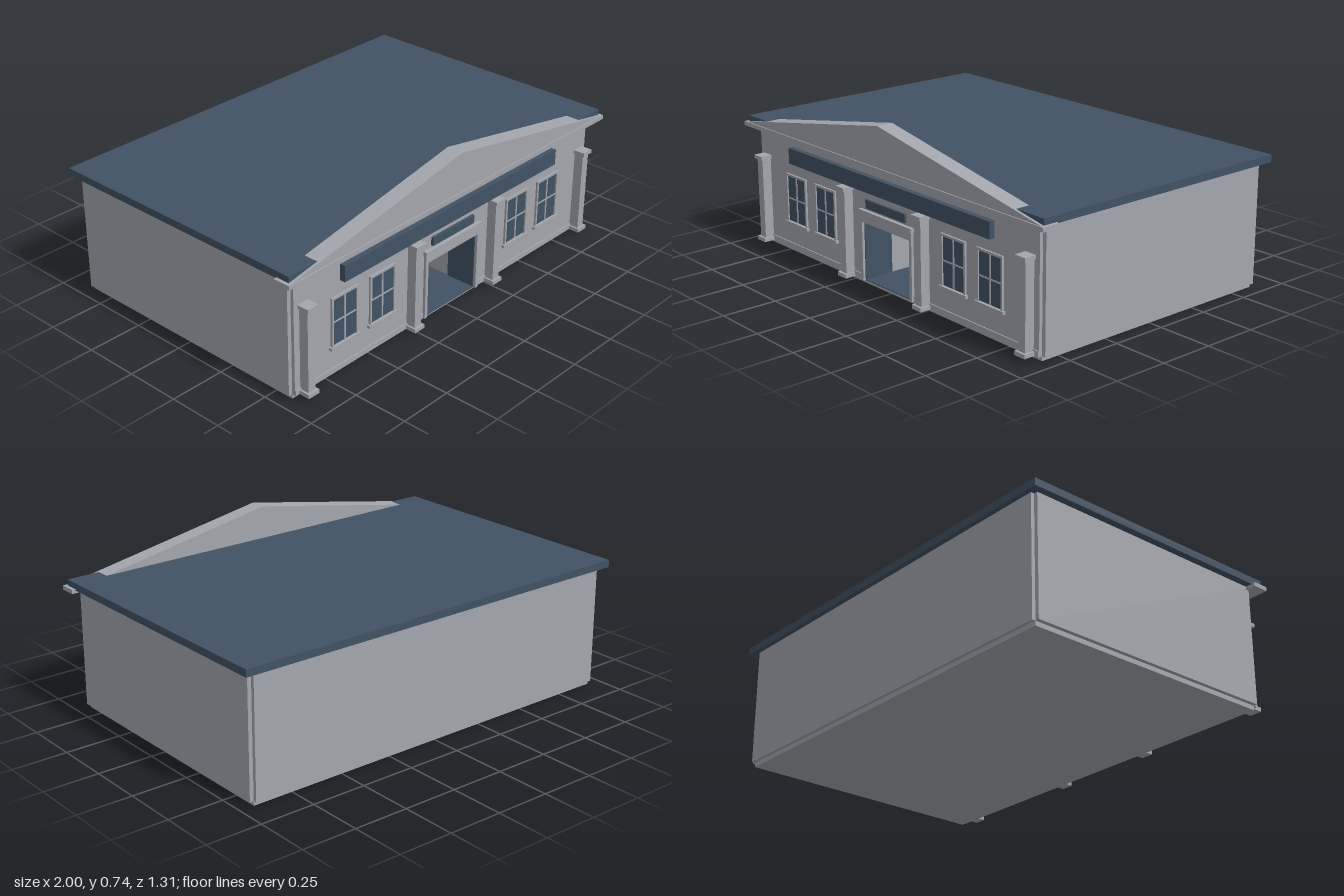
import * as THREE from 'three';

export function createModel() {
  const model = new THREE.Group();
  const grey = new THREE.MeshStandardMaterial({ color: 0xa3a6ad });
  grey.name = 'wallGrey';
  const blue = new THREE.MeshStandardMaterial({ color: 0x415263 });
  blue.name = 'slateBlue';

  // box given by its limits on each axis
  function block(name, mat, [x0, x1], [y0, y1], [z0, z1], parent = model) {
    const mesh = new THREE.Mesh(new THREE.BoxGeometry(x1 - x0, y1 - y0, z1 - z0), mat);
    mesh.position.set((x0 + x1) / 2, (y0 + y1) / 2, (z0 + z1) / 2);
    mesh.name = name;
    parent.add(mesh);
    return mesh;
  }
  const around = (c, half) => [c - half, c + half];
  const span = (half) => [-half, half];

  const doorHalf = 0.16, doorTop = 0.285, backZ = 0;
  const frontZ = 0.6;

  // building core, leaving an entrance hall behind the doorway
  block('base', grey, span(0.935), [0, 0.02], [-0.614, 0.585]);
  block('rearCore', grey, span(0.935), [0.02, 0.557], [-0.614, backZ]);
  block('upperCore', grey, span(doorHalf), [doorTop, 0.557], [backZ, 0.585]);
  for (const s of [-1, 1]) {
    const range = (a, b) => (s > 0 ? [a, b] : [-b, -a]);
    block('sideCore', grey, range(doorHalf, 0.935), [0.02, 0.557], [backZ, 0.585]);
    block('sideWall', grey, range(0.935, 0.953), [0.02, 0.557], [-0.614, 0.585]);
    block('frontPlinth', grey, range(0.178, 0.935), [0.02, 0.045], [frontZ, 0.605]);
    // entrance lining and surround
    block('doorLining', blue, range(doorHalf - 0.004, doorHalf), [0.02, doorTop], [0.46, frontZ]);
    block('doorJamb', grey, range(doorHalf, 0.176), [0.02, 0.32], [frontZ, 0.612]);
  }
  block('backWall', grey, span(0.935), [0.02, 0.557], [-0.63, -0.614]);

  // front wall panel with the doorway cut out
  const wall = new THREE.Shape([
    [-0.935, 0.02], [-doorHalf, 0.02], [-doorHalf, doorTop], [doorHalf, doorTop],
    [doorHalf, 0.02], [0.935, 0.02], [0.935, 0.557], [-0.935, 0.557],
  ].map(([x, y]) => new THREE.Vector2(x, y)));
  const frontWall = new THREE.Mesh(
    new THREE.ExtrudeGeometry(wall, { depth: 0.015, bevelEnabled: false }), grey);
  frontWall.position.z = 0.585;
  frontWall.name = 'frontWall';
  model.add(frontWall);

  // entrance
  block('hallFloor', blue, span(doorHalf), [0.02, 0.024], [backZ, frontZ]);
  block('doorLintel', grey, span(0.163), [doorTop, 0.32], [frontZ, 0.612]);
  block('doorCap', grey, span(0.18), [0.32, 0.34], [frontZ, 0.617]);
  block('door', blue, span(0.076), [0.024, 0.257], [backZ, backZ + 0.008]);
  block('doorHandle', grey, around(0.053, 0.004), [0.12, 0.145], [backZ + 0.008, backZ + 0.016]);
  block('doorSign', blue, span(0.133), [0.352, 0.39], [frontZ, 0.612]);
  block('signBand', blue, span(0.678), [0.428, 0.5], [frontZ, 0.625]);

  // windows
  for (const x of [-0.657, -0.436, 0.436, 0.657]) {
    const win = new THREE.Group();
    win.name = 'window';
    model.add(win);
    block('glass', blue, around(x, 0.068), [0.15, 0.362], [frontZ, 0.603], win);
    for (const s of [-1, 1])
      block('frameSide', grey, around(x + s * 0.071, 0.005), [0.145, 0.37], [frontZ, 0.609], win);
    block('frameTop', grey, around(x, 0.076), [0.36, 0.37], [frontZ, 0.609], win);
    block('mullion', grey, around(x, 0.004), [0.15, 0.362], [frontZ, 0.606], win);
    block('transom', grey, around(x, 0.068), [0.253, 0.259], [frontZ, 0.606], win);
    block('sill', grey, around(x, 0.085), [0.135, 0.148], [frontZ, 0.614], win);
  }

  // square pilasters
  for (const x of [-0.885, -0.258, 0.258, 0.885]) {
    const pilaster = new THREE.Group();
    pilaster.name = 'pilaster';
    model.add(pilaster);
    block('pilasterFoot', grey, around(x, 0.029), [0.02, 0.038], [frontZ, 0.655], pilaster);
    block('pilasterShaft', grey, around(x, 0.02), [0.038, 0.408], [frontZ, 0.644], pilaster);
    block('pilasterCap', grey, around(x, 0.029), [0.408, 0.424], [frontZ, 0.655], pilaster);
  }

  // roof slab, cornice and pediment
  block('roof', blue, span(0.985), [0.557, 0.59], [-0.653, 0.628]);
  block('cornice', grey, span(1), [0.543, 0.562], [0.57, 0.645]);
  const gable = new THREE.Shape([
    new THREE.Vector2(-1, 0.56), new THREE.Vector2(1, 0.56), new THREE.Vector2(0, 0.74),
  ]);
  const pediment = new THREE.Mesh(
    new THREE.ExtrudeGeometry(gable, { depth: 0.077, bevelEnabled: false }), grey);
  pediment.position.z = 0.563;
  pediment.name = 'pediment';
  model.add(pediment);

  return model;
}
